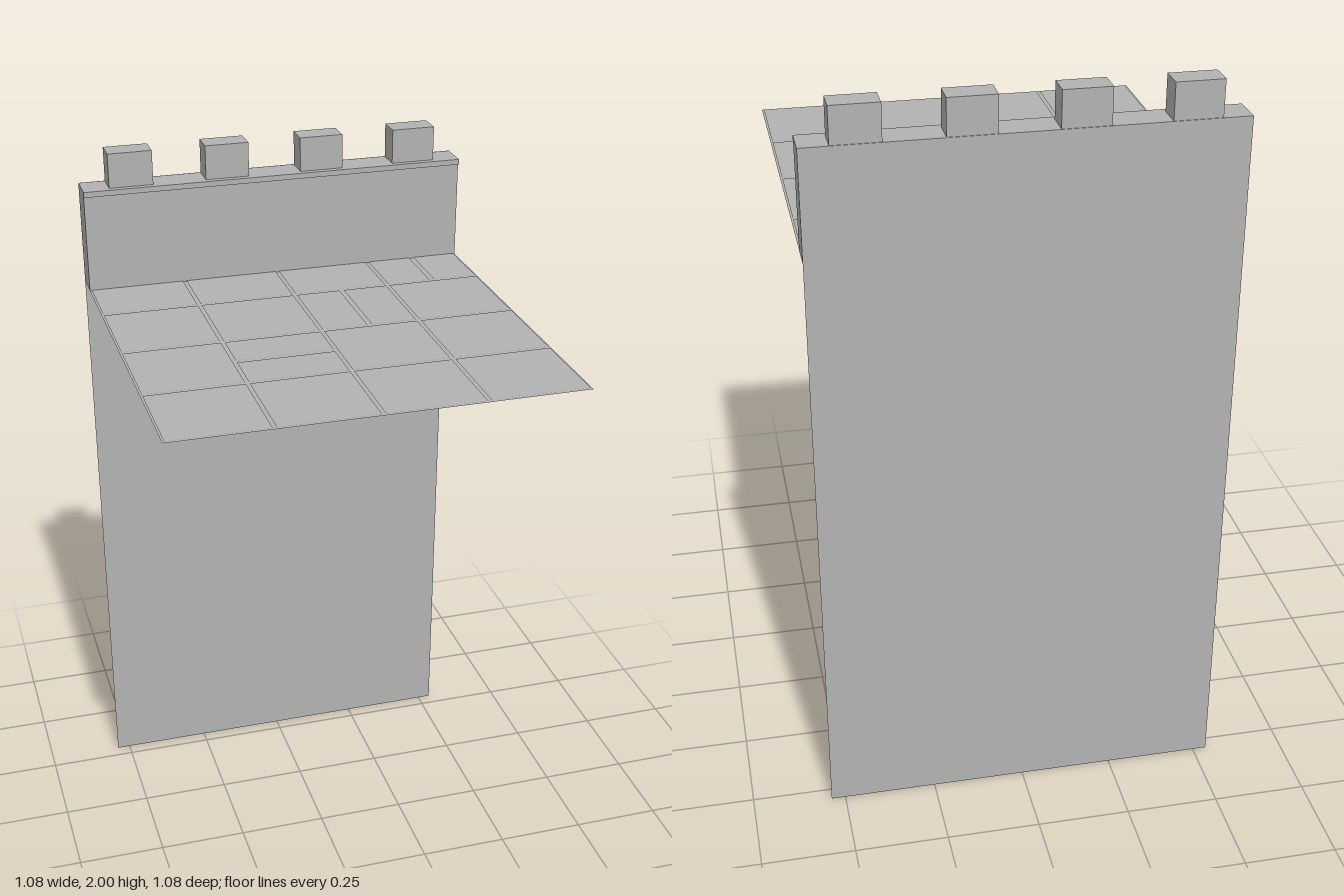
import * as THREE from 'three';

export function createModel() {
  const model = new THREE.Group();
  model.name = 'castleWallSection';

  const stone = new THREE.MeshStandardMaterial({ color: 0xb2b2b2, side: THREE.DoubleSide });
  stone.name = 'grey stone';

  const HALF = 0.538;      // half width and half depth
  const FLOOR = 1.62;      // walkway height
  const TOP = 1.905;       // top of the parapet

  // Adds a box given by its min and max corners
  function box(name, [x0, y0, z0], [x1, y1, z1], parent = model) {
    const mesh = new THREE.Mesh(new THREE.BoxGeometry(x1 - x0, y1 - y0, z1 - z0), stone);
    mesh.position.set((x0 + x1) / 2, (y0 + y1) / 2, (z0 + z1) / 2);
    mesh.name = name;
    parent.add(mesh);
  }

  // Adds a horizontal sheet facing up
  function sheet(name, x0, z0, x1, z1, y, parent = model) {
    const geometry = new THREE.PlaneGeometry(x1 - x0, z1 - z0).rotateX(-Math.PI / 2);
    const mesh = new THREE.Mesh(geometry, stone);
    mesh.position.set((x0 + x1) / 2, y, (z0 + z1) / 2);
    mesh.name = name;
    parent.add(mesh);
  }

  // Tall outer wall, a single sheet facing backward
  const wall = new THREE.Mesh(new THREE.PlaneGeometry(2 * HALF, TOP).rotateY(Math.PI), stone);
  wall.position.set(0, TOP / 2, -HALF);
  wall.name = 'outerWall';
  model.add(wall);

  // Walkway floor
  sheet('walkwayFloor', -HALF, -HALF, HALF, HALF, FLOOR);

  // Paving slabs on a 4 x 4 grid, three of them split in half
  const paving = new THREE.Group();
  paving.name = 'pavingSlabs';
  model.add(paving);
  const cell = HALF / 2, edge = 0.005, gap = 0.0065;
  const splits = { '0,3': 'x', '1,2': 'x', '2,1': 'z' };
  for (let row = 0; row < 4; row++) {
    for (let col = 0; col < 4; col++) {
      const x0 = -HALF + col * cell + edge, x1 = x0 + cell - 2 * edge;
      const z0 = -HALF + row * cell + edge, z1 = z0 + cell - 2 * edge;
      const xm = (x0 + x1) / 2, zm = (z0 + z1) / 2;
      const split = splits[`${row},${col}`];
      const slab = (...r) => sheet('pavingSlab', ...r, FLOOR + 0.002, paving);
      if (split === 'x') {
        slab(x0, z0, xm - gap, z1);
        slab(xm + gap, z0, x1, z1);
      } else if (split === 'z') {
        slab(x0, z0, x1, zm - gap);
        slab(x0, zm + gap, x1, z1);
      } else {
        slab(x0, z0, x1, z1);
      }
    }
  }

  // Parapet with its overhanging coping
  box('parapet', [-HALF, FLOOR, -HALF + 0.001], [HALF, 1.89, -0.457]);
  box('coping', [-HALF, 1.89, -HALF + 0.001], [HALF, TOP, -0.45]);

  // Four merlons, evenly spaced
  for (let i = 0; i < 4; i++) {
    const x = (i - 1.5) * 0.2695;
    box('merlon', [x - 0.061, TOP, -0.535], [x + 0.061, 2, -0.467]);
  }

  return model;
}
